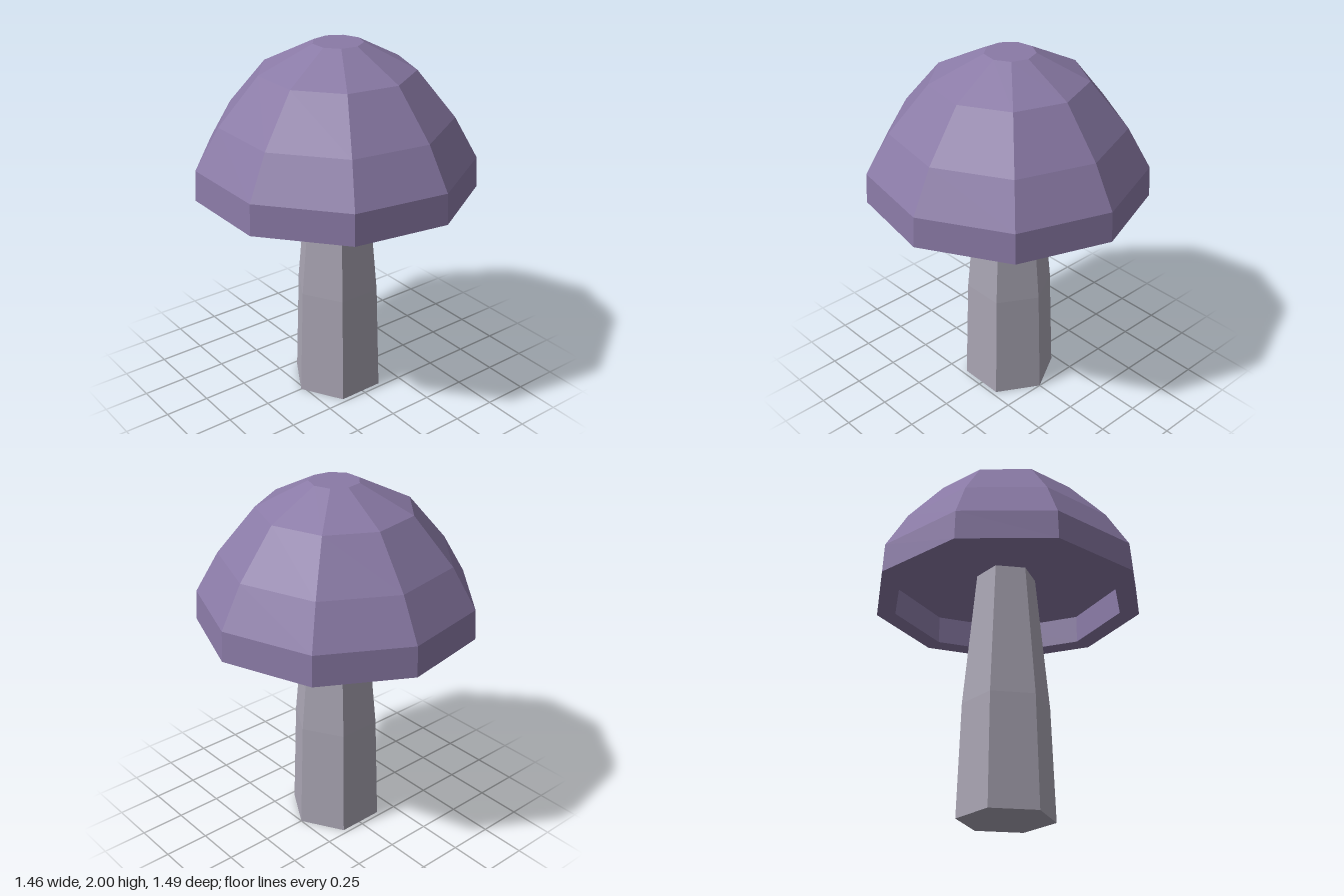
import * as THREE from 'three';

// Faceted solid of revolution with one corner pointing to +x
function facetedLathe(name, profile, sides, color) {
  const points = profile.map(([r, y]) => new THREE.Vector2(r, y));
  const geometry = new THREE.LatheGeometry(points, sides, Math.PI / 2);
  const material = new THREE.MeshStandardMaterial({ color, flatShading: true });
  const mesh = new THREE.Mesh(geometry, material);
  mesh.name = name;
  return mesh;
}

export function createModel() {
  const model = new THREE.Group();
  model.name = 'mushroom';

  // Six-sided stem, tapering up into the hollow of the cap
  const stem = facetedLathe('stem', [
    [0, 0], [0.26, 0], [0.238, 0.62], [0.165, 1.39],
  ], 6, 0xa8a4b2);
  stem.position.x = -0.01;

  // Nine-sided cap: recessed underside, rim, then the dome
  const cap = facetedLathe('cap', [
    [0, 1.39], [0.645, 1.39], [0.645, 1.225], [0.755, 1.225],
    [0.746, 1.39], [0.62, 1.61], [0.412, 1.86], [0.133, 2], [0, 2],
  ], 9, 0x8a7aa6);

  // Centre every odd-sided ring across its width
  const pos = cap.geometry.attributes.position;
  for (let i = 0; i < pos.count; i++) {
    pos.setX(i, pos.getX(i) - 0.03 * Math.hypot(pos.getX(i), pos.getZ(i)));
  }
  cap.geometry.computeVertexNormals();

  model.add(stem, cap);
  return model;
}
